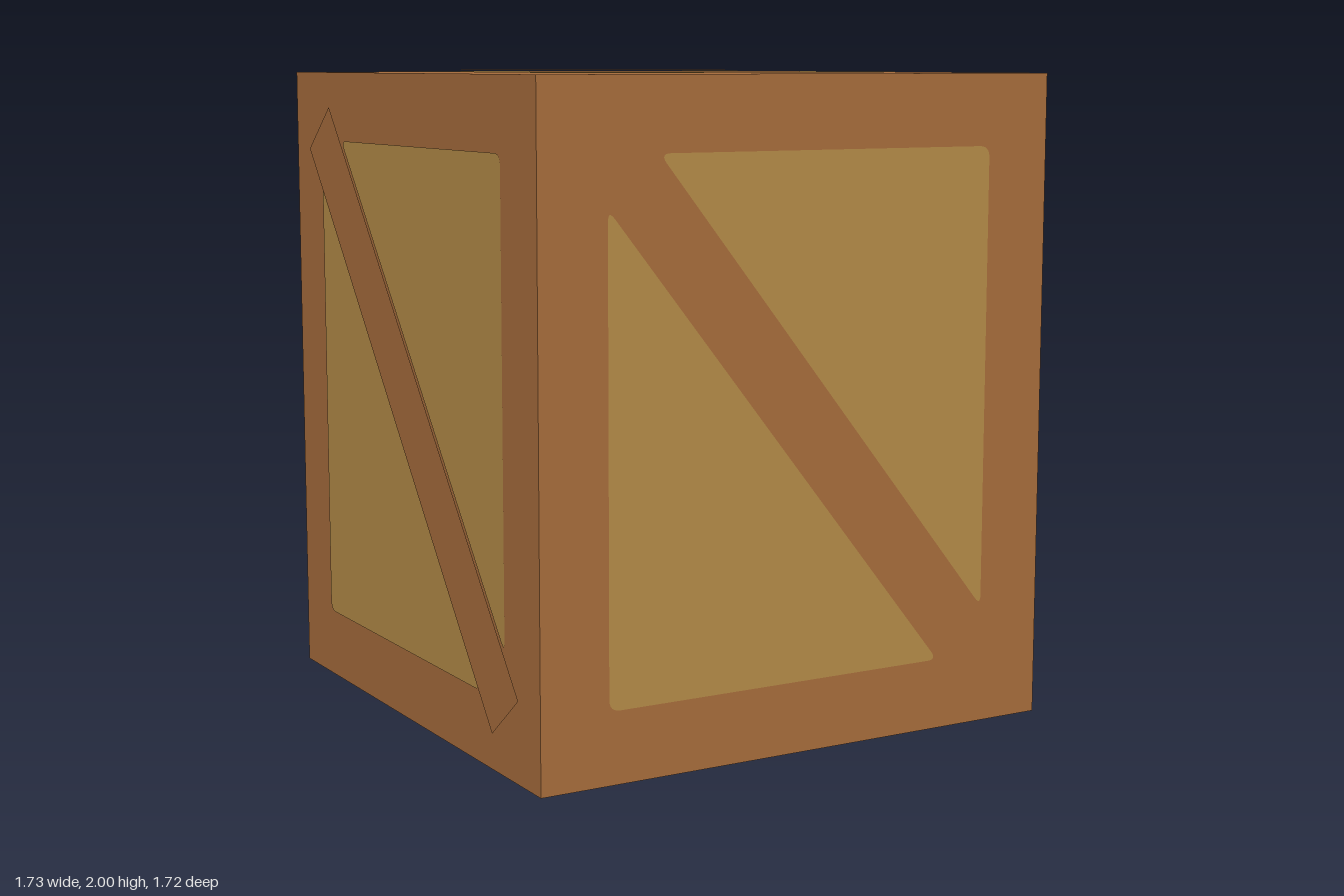
import * as THREE from 'three';

const W = 0.86;              // half width and half depth of the crate
const BOTTOM = 0.021, TOP = 1.992;
const MID = (BOTTOM + TOP) / 2, H = (TOP - BOTTOM) / 2;
const BORDER = 0.214;        // width of the frame boards

// Closed polygon shape with each corner softened by radius r
function roundedPolygon(points, r) {
  const pts = points.map(([x, y]) => new THREE.Vector2(x, y));
  const shape = new THREE.Shape();
  pts.forEach((p, i) => {
    const prev = pts[(i + pts.length - 1) % pts.length];
    const next = pts[(i + 1) % pts.length];
    const a = p.clone().add(prev.clone().sub(p).setLength(r));
    const b = p.clone().add(next.clone().sub(p).setLength(r));
    if (i === 0) shape.moveTo(a.x, a.y);
    else shape.lineTo(a.x, a.y);
    shape.quadraticCurveTo(p.x, p.y, b.x, b.y);
  });
  shape.closePath();
  return shape;
}

export function createModel() {
  const frameWood = new THREE.MeshStandardMaterial({ color: 0xa56b3b });
  frameWood.name = 'frameWood';
  const panelWood = new THREE.MeshStandardMaterial({ color: 0xb28946 });
  panelWood.name = 'panelWood';

  const crate = new THREE.Group();
  crate.name = 'crate';

  // Solid body, whose surface shows as the frame boards
  const body = new THREE.Mesh(new THREE.BoxGeometry(2 * W, 2 * H, 2 * W), frameWood);
  body.name = 'frame';
  body.position.y = MID;
  crate.add(body);

  // One face, built facing +z: two corner panels and an optional raised diagonal board
  function addFace(name, halfHeight, position, rotation, board) {
    const face = new THREE.Group();
    face.name = name + 'Face';
    const w = W - BORDER, h = halfHeight - BORDER;
    const square = halfHeight === W;
    const slope = square ? 1 : 1.235;
    const gap = 0.109 * Math.hypot(1, slope);
    const shape = roundedPolygon([[w, h], [(gap - h) / slope, h], [w, gap - slope * w]], 0.035);
    const panelGeometry = new THREE.ShapeGeometry(shape, 6);
    [0, Math.PI].forEach((turn, i) => {
      const panel = new THREE.Mesh(panelGeometry, panelWood);
      panel.name = i ? 'lowerPanel' : 'upperPanel';
      panel.rotation.z = turn;
      panel.position.z = 0.002;
      face.add(panel);
    });
    if (board) {
      const length = square ? 1.885 : 2.08;
      const brace = new THREE.Mesh(new THREE.PlaneGeometry(length, 0.216), frameWood);
      brace.name = 'diagonalBoard';
      brace.rotation.z = -Math.atan(slope);
      brace.position.z = board;
      face.add(brace);
    }
    face.position.set(...position);
    face.rotation.set(...rotation);
    crate.add(face);
  }

  const Q = Math.PI / 2;
  addFace('front', H, [0, MID, W], [0, 0, 0], 0);
  addFace('back', H, [0, MID, -W], [0, Math.PI, 0], 0);
  addFace('left', H, [W, MID, 0], [0, Q, 0], 0.007);
  addFace('right', H, [-W, MID, 0], [0, -Q, 0], 0.007);
  addFace('top', W, [0, TOP, 0], [-Q, 0, 0], 2 - TOP);
  addFace('bottom', W, [0, BOTTOM, 0], [Q, 0, Q], BOTTOM);

  return crate;
}
